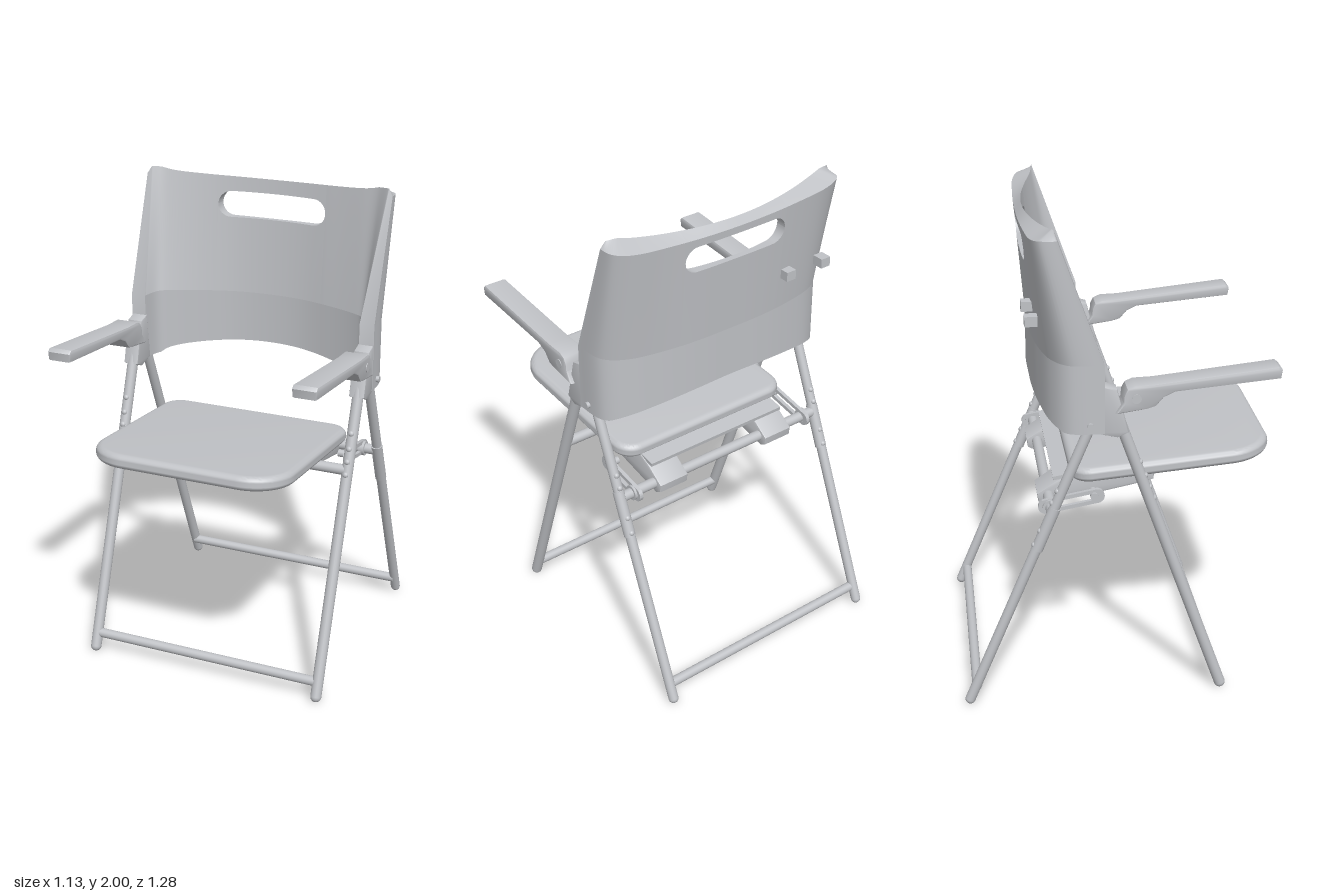
import * as THREE from 'three';
import { mergeGeometries, toCreasedNormals } from 'three/addons/utils/BufferGeometryUtils.js';

const grey = new THREE.MeshStandardMaterial({ color: 0xc0c2c6, side: THREE.DoubleSide });
grey.name = 'light grey';
const V = (x, y, z) => new THREE.Vector3(x, y, z);

export function createModel() {
  const model = new THREE.Group();
  const add = (name, geometry) => {
    const mesh = new THREE.Mesh(geometry, grey);
    mesh.name = name;
    model.add(mesh);
    return mesh;
  };

  // Round bar between two points, optionally with domed ends
  const rod = (name, a, b, r, domed = false) => {
    const length = a.distanceTo(b);
    const geo = domed ? new THREE.CapsuleGeometry(r, length, 6, 20) : new THREE.CylinderGeometry(r, r, length, 20);
    const mesh = add(name, geo);
    mesh.position.copy(a).add(b).multiplyScalar(0.5);
    mesh.quaternion.setFromUnitVectors(V(0, 1, 0), b.clone().sub(a).normalize());
  };

  // Side outline given as [z, y], extruded across x and centred on x
  const sidePart = (name, points, x, width, bevel = 0.006) => {
    const shape = new THREE.Shape(points.map(p => new THREE.Vector2(...p)));
    const geo = new THREE.ExtrudeGeometry(shape, {
      depth: width - 2 * bevel, bevelEnabled: true, bevelThickness: bevel,
      bevelSize: bevel, bevelOffset: -bevel, bevelSegments: 2,
    });
    geo.translate(0, 0, bevel - width / 2).rotateY(-Math.PI / 2).translate(x, 0, 0);
    add(name, toCreasedNormals(geo, 0.6));
  };

  // Points on the side of a leg at a given height
  const frontZ = y => 0.42 - 0.352 * (y - 0.02);
  const rearZ = y => -0.62 + 0.415 * (y - 0.02);

  add('backrest', backrestGeometry());
  for (const x of [-0.27, -0.45]) {
    add('backClip', new THREE.BoxGeometry(0.045, 0.04, 0.05)).position.set(x, 1.64, -0.34);
  }

  // Seat cushion with large front corners and small rear ones
  const b = 0.028, w = 0.425 - b, f = -0.41 + b, k = 0.42 - b, R = 0.15, r = 0.06;
  const outline = new THREE.Shape();
  outline.moveTo(-w + R, f);
  outline.lineTo(w - R, f);
  outline.absarc(w - R, f + R, R, -Math.PI / 2, 0);
  outline.absarc(w - r, k - r, r, 0, Math.PI / 2);
  outline.absarc(-w + r, k - r, r, Math.PI / 2, Math.PI);
  outline.absarc(-w + R, f + R, R, Math.PI, Math.PI * 1.5);
  const seatGeo = new THREE.ExtrudeGeometry(outline, {
    depth: 0.06 - 2 * b, bevelThickness: b, bevelSize: b, bevelSegments: 6, curveSegments: 14,
  });
  seatGeo.translate(0, 0, b - 0.03).rotateX(-Math.PI / 2);
  const seat = add('seat', toCreasedNormals(seatGeo, 0.6));
  seat.position.set(0, 0.99, 0.23);
  seat.rotation.x = -0.081;

  // Parts mirrored left and right
  for (const s of [-1, 1]) {
    const x = s * 0.513;
    rod('frontLeg', V(x, 0.023, 0.42), V(x, 1.33, frontZ(1.33)), 0.023, true);
    rod('rearLeg', V(x, 0.023, -0.625), V(x, 1.25, rearZ(1.25)), 0.021, true);
    rod('rearLegSleeve', V(x, 0.7, rearZ(0.7)), V(x, 0.88, rearZ(0.88)), 0.024);

    // Height adjustment buttons on the legs
    for (const y of [0.9, 0.95, 1.0, 1.06]) {
      add('frontLegButton', new THREE.SphereGeometry(0.013, 12, 8)).position.set(x, y, frontZ(y) + 0.018);
    }
    for (const y of [0.72, 0.78, 0.9, 0.95]) {
      add('rearLegButton', new THREE.SphereGeometry(0.013, 12, 8)).position.set(x, y, rearZ(y) - 0.018);
    }

    // Bracket joining legs, backrest and armrest
    sidePart('legBracket', [[0.025, 1.2], [-0.022, 1.38], [-0.075, 1.395], [-0.1, 1.2], [-0.02, 1.18]], x, 0.066);
    rod('bracketPin', V(s * 0.53, 1.235, -0.125), V(s * 0.56, 1.235, -0.125), 0.013);

    // Armrest with its pivot
    sidePart('armrest', [
      [0.6, 1.448], [0.615, 1.435], [0.61, 1.4], [0.2, 1.366], [0.155, 1.345], [0.125, 1.31], [0.09, 1.3],
      [-0.03, 1.285], [0, 1.33], [0.002, 1.36], [0.015, 1.385], [0.045, 1.398], [0.12, 1.4],
    ], s * 0.514, 0.1, 0.008);
    rod('armPivot', V(s * 0.53, 1.345, 0.05), V(s * 0.567, 1.345, 0.05), 0.019);

    // Seat support arm, clamped round the front crossbar
    sidePart('seatArm', [
      [0.16, 0.95], [0.155, 0.9], [0.07, 0.88], [-0.29, 0.81], [-0.315, 0.825], [-0.32, 0.86], [-0.24, 0.915], [-0.17, 0.945],
    ], s * 0.275, 0.14);

    // Slotted sliding rail beside the seat
    const rail = new THREE.Shape();
    rail.absarc(0, 0, 0.03, Math.PI / 2, Math.PI * 1.5);
    rail.absarc(0.21, 0, 0.03, -Math.PI / 2, Math.PI / 2);
    const slot = new THREE.Path();
    slot.absarc(0, 0, 0.014, Math.PI / 2, Math.PI * 1.5);
    slot.absarc(0.18, 0, 0.014, -Math.PI / 2, Math.PI / 2);
    rail.holes.push(slot);
    const railGeo = new THREE.ExtrudeGeometry(rail, { depth: 0.016, bevelEnabled: false });
    railGeo.rotateZ(0.17).translate(0, 0, -0.008).rotateY(-Math.PI / 2).translate(s * 0.442, 0.853, -0.295);
    add('seatRail', toCreasedNormals(railGeo, 0.6));
    rod('railPin', V(s * 0.4, 0.89, -0.1), V(s * 0.46, 0.89, -0.1), 0.016);
    rod('barCollar', V(s * 0.436, 0.853, -0.275), V(s * 0.46, 0.853, -0.275), 0.032);
  }

  // Crossbars
  const bar = (name, half, y, z, radius) => rod(name, V(-half, y, z), V(half, y, z), radius);
  bar('frontRung', 0.513, 0.08, frontZ(0.08), 0.02);
  bar('rearRung', 0.513, 0.08, rearZ(0.08), 0.02);
  bar('frontCrossbar', 0.513, 0.912, frontZ(0.912), 0.022);
  bar('rearCrossbar', 0.5, 0.853, -0.275, 0.022);

  // Plate behind the seat and slat beneath it
  const plate = add('rearPlate', new THREE.BoxGeometry(0.68, 0.016, 0.12));
  plate.position.set(0, 0.933, -0.195);
  plate.rotation.x = -0.15;
  add('underSlat', new THREE.BoxGeometry(0.42, 0.02, 0.07)).position.set(0, 0.915, -0.06);

  return model;
}

// Curved back shell: ruled strips between a low plan outline and a raked top outline
function backrestGeometry() {
  const spline = half => new THREE.SplineCurve([
    ...half.slice(1).reverse().map(([x, z]) => new THREE.Vector2(-x, z)),
    ...half.map(p => new THREE.Vector2(...p)),
  ]);
  const outer = {
    low: spline([[0, -0.322], [0.15, -0.32], [0.3, -0.305], [0.45, -0.27], [0.535, -0.2], [0.548, -0.07]]),
    top: spline([[0, -0.365], [0.15, -0.363], [0.3, -0.357], [0.45, -0.347], [0.535, -0.318], [0.548, -0.255]]),
  };
  const inner = {
    low: spline([[0, -0.3], [0.15, -0.287], [0.3, -0.242], [0.42, -0.19], [0.468, -0.15], [0.485, -0.07]]),
    top: spline([[0, -0.337], [0.15, -0.328], [0.3, -0.302], [0.42, -0.272], [0.485, -0.258], [0.53, -0.252]]),
  };
  const fold = 1.48;
  const point = (side, u, y) => {
    const t = (u + 1) / 2, m = Math.max(0, (y - fold) / (2 - fold));
    const p = side.low.getPoint(t).lerp(side.top.getPoint(t), m);
    return [p.x, y, p.y];
  };

  // Heights of the bottom edge, fold, handle hole and top edge
  const hole = u => {
    const d = Math.max(0, Math.abs(u * 0.75) - 0.185);
    return Math.sqrt(Math.max(0, 0.055 ** 2 - d * d));
  };
  const bottom = (u) => 1.2 + 0.065 * Math.max(0, 1 - (u / 0.75) ** 2);
  const folded = () => fold;
  const holeLow = u => 1.855 - hole(u);
  const holeHigh = u => 1.855 + hole(u);
  const top = (u, side) => (side === inner ? 2 : 1.97) - 0.03 * Math.max(0, 1 - (u / 0.8) ** 2);

  const strips = [];
  const strip = (a, b) => {
    const n = a.length, index = [];
    for (let i = 0; i < n - 1; i++) index.push(i, i + 1, n + i, i + 1, n + i + 1, n + i);
    const geo = new THREE.BufferGeometry();
    geo.setAttribute('position', new THREE.Float32BufferAttribute([...a, ...b].flat(), 3));
    geo.setIndex(index);
    geo.computeVertexNormals();
    strips.push(geo);
  };
  const piece = (us, rows) => {
    const line = (side, row) => us.map(u => point(side, u, row(u, side)));
    for (let i = 0; i < rows.length - 1; i++) {
      strip(line(inner, rows[i]), line(inner, rows[i + 1]));
      strip(line(outer, rows[i + 1]), line(outer, rows[i]));
    }
    const last = rows[rows.length - 1];
    strip(line(outer, rows[0]), line(inner, rows[0]));
    strip(line(inner, last), line(outer, last));
  };

  const h = 0.32, steps = n => Array.from({ length: n + 1 }, (_, i) => i / n);
  const wing = steps(24).map(t => h + (1 - h) * t);
  const middle = steps(36).map(t => -h * Math.cos(Math.PI * t));
  const wingRows = [bottom, folded, top];
  piece(wing, wingRows);
  piece(wing.map(u => -u).reverse(), wingRows);
  piece(middle, [bottom, folded, holeLow]);
  piece(middle, [holeHigh, top]);

  // Front edges of the wings
  for (const u of [-1, 1]) {
    const edge = side => wingRows.map(row => point(side, u, row(u, side)));
    if (u > 0) strip(edge(outer), edge(inner));
    else strip(edge(inner), edge(outer));
  }
  return mergeGeometries(strips);
}
